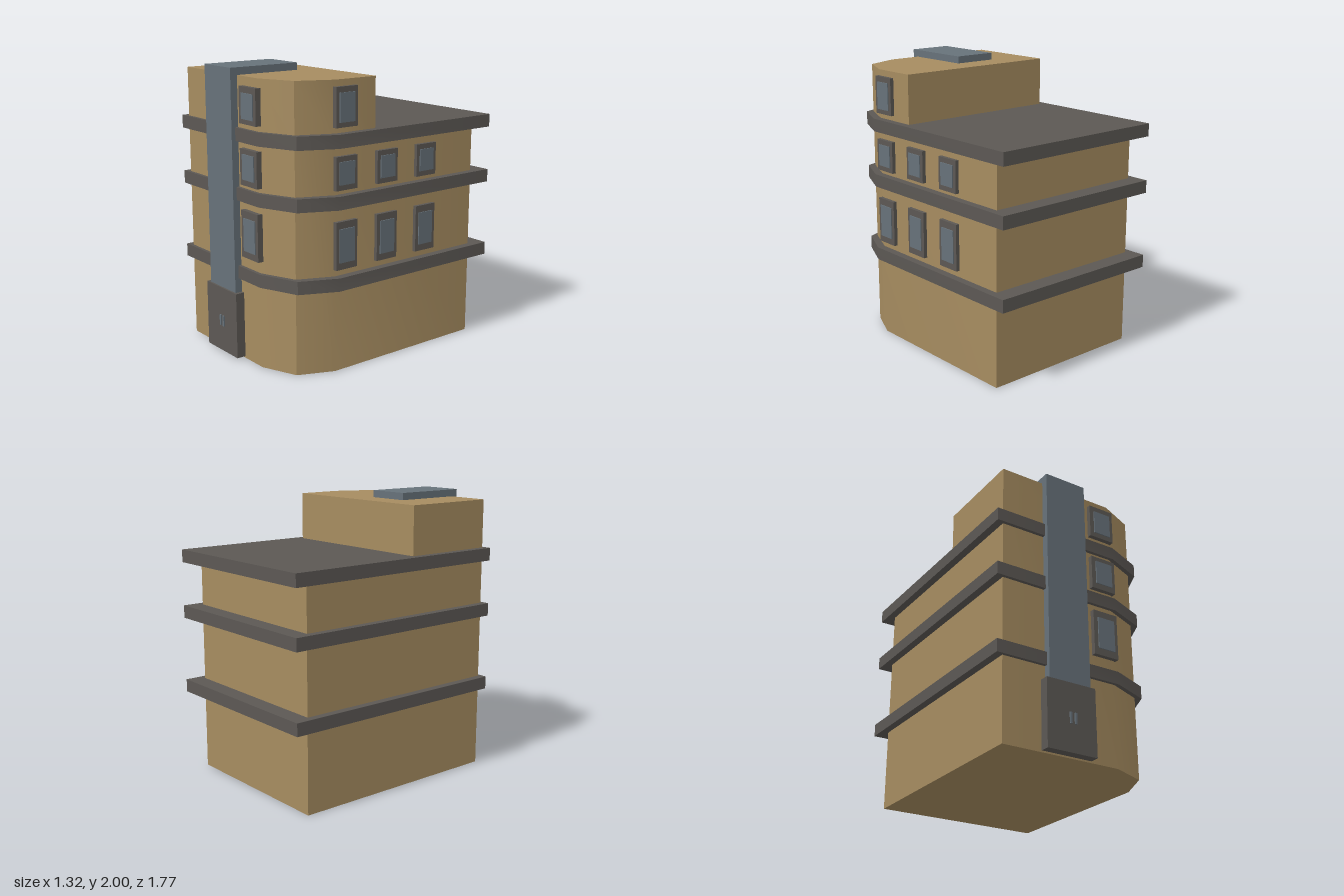
import * as THREE from 'three';
import { toCreasedNormals } from 'three/addons/utils/BufferGeometryUtils.js';

const mat = (name, color) => {
  const m = new THREE.MeshStandardMaterial({ color });
  m.name = name;
  return m;
};

export function createModel() {
  const wall = mat('tan wall', 0xa68c60);
  const trim = mat('dark grey trim', 0x5c5854);
  const glass = mat('blue grey glass', 0x67727a);
  const model = new THREE.Group();
  model.name = 'building';

  const add = (name, geo, material, parent = model) => {
    const mesh = new THREE.Mesh(geo, material);
    mesh.name = name;
    parent.add(mesh);
    return mesh;
  };

  // Box given by its lower and upper limits on each axis
  const box = (name, material, [x0, x1], [y0, y1], [z0, z1], parent) =>
    add(name, new THREE.BoxGeometry(x1 - x0, y1 - y0, z1 - z0), material, parent)
      .position.set((x0 + x1) / 2, (y0 + y1) / 2, (z0 + z1) / 2);

  // Storey or slab: a plan outline of [x, z] points raised from y0 to y1
  const storey = (name, material, plan, y0, y1) => {
    const shape = new THREE.Shape(plan.map(([x, z]) => new THREE.Vector2(x, -z)));
    const geo = new THREE.ExtrudeGeometry(shape, { depth: y1 - y0, bevelEnabled: false });
    geo.rotateX(-Math.PI / 2).translate(0, y0, 0);
    add(name, toCreasedNormals(geo, Math.PI / 6), material);
  };

  // Plans with the faceted front left corner
  const wallPlan = (back) => [
    [-0.61, back], [-0.61, 0.813], [0.25, 0.813], [0.5, 0.712], [0.605, 0.47], [0.605, back],
  ];
  const slabPlan = [
    [-0.663, -0.887], [-0.663, 0.837], [0.27, 0.837], [0.545, 0.73], [0.66, 0.475], [0.66, -0.887],
  ];

  // Walls and the smaller top storey
  storey('mainWalls', wall, wallPlan(-0.765), 0, 1.56);
  storey('topStorey', wall, wallPlan(0.137), 1.56, 1.95);

  // Overhanging floor slabs
  for (const y of [0.575, 1.12, 1.52]) storey('floorSlab', trim, slabPlan, y, y + 0.09);

  // Stair tower and entrance
  box('stairTower', glass, [-0.297, 0.016], [0.4, 2], [0.33, 0.865]);
  box('entranceDoor', trim, [-0.328, 0.042], [0.012, 0.475], [0.78, 0.878]);
  for (const x of [-0.162, -0.125])
    box('doorHandle', glass, [x, x + 0.015], [0.2, 0.275], [0.87, 0.887]);

  // Front windows: frame heights then glass heights
  const frontRows = [
    [0.747, 1.07, 0.795, 1.02], [1.24, 1.483, 1.28, 1.45], [1.647, 1.89, 1.68, 1.85],
  ];
  for (const [y0, y1, g0, g1] of frontRows) {
    const win = new THREE.Group();
    win.name = 'frontWindow';
    model.add(win);
    box('windowFrame', trim, [0.078, 0.269], [y0, y1], [0.79, 0.845], win);
    box('windowGlass', glass, [0.11, 0.242], [g0, g1], [0.844, 0.852], win);
  }

  // Side windows: heights and the z centres in each row
  const sideRows = [
    [0.71, 1.033, 0.757, 0.985, [0.394, 0.047, -0.304]],
    [1.24, 1.462, 1.276, 1.427, [0.394, 0.047, -0.304]],
    [1.647, 1.907, 1.68, 1.87, [0.394]],
  ];
  for (const [y0, y1, g0, g1, centres] of sideRows)
    for (const z of centres) {
      const win = new THREE.Group();
      win.name = 'sideWindow';
      model.add(win);
      box('windowFrame', trim, [0.58, 0.631], [y0, y1], [z - 0.088, z + 0.088], win);
      box('windowGlass', glass, [0.63, 0.638], [g0, g1], [z - 0.062, z + 0.062], win);
    }

  return model;
}
